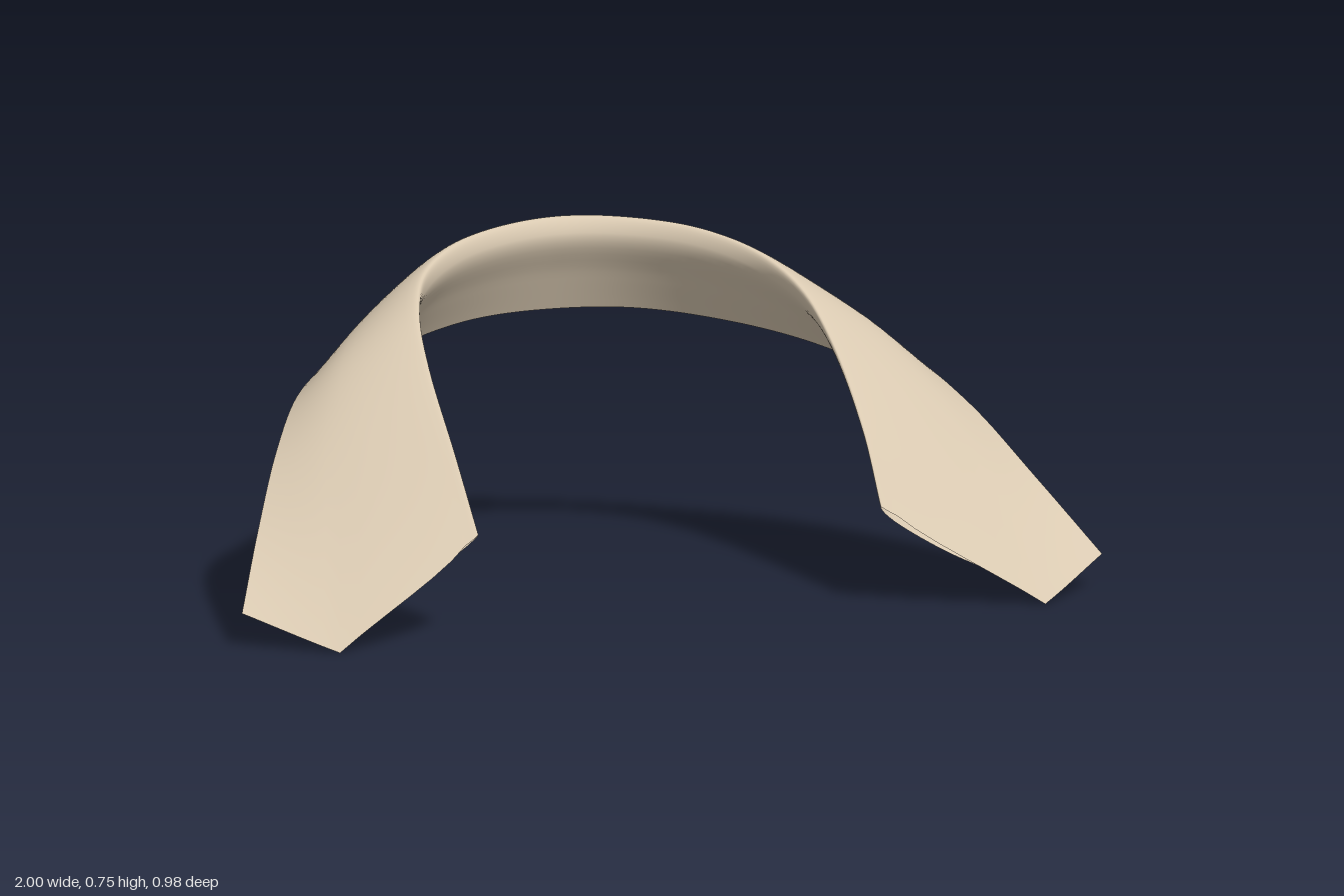
import * as THREE from 'three';

const V = (p) => new THREE.Vector3(...p);
const { lerp } = THREE.MathUtils;

// Rail running from the right tip round the back to the left tip, mirrored from one half
function rail(half) {
  const right = half.slice(1).reverse().map(([x, y, z]) => [-x, y, z]);
  return new THREE.CatmullRomCurve3([...right, ...half].map(V));
}

// How far the outer leaf is drawn towards its point, by position along the section
function pull(s) {
  if (s < 1) return s;
  if (s < 2) return 1 - .9 * (s - 1);
  return Math.max(0, .1 * (3 - s));
}

export function createModel() {
  const group = new THREE.Group();
  group.name = 'foldedCollar';
  const cloth = new THREE.MeshStandardMaterial({ color: 0xd9c9b1, side: THREE.DoubleSide });
  cloth.name = 'beige cloth';

  // Half rails, back centre to front tip
  const fold = rail([[0, .757, -.39], [.14, .75, -.367], [.28, .73, -.297], [.383, .69, -.2],
    [.442, .63, -.07], [.467, .535, .07], [.473, .377, .265], [.468, .228, .403]]);
  const outer = rail([[0, .55, -.49], [.21, .54, -.467], [.42, .518, -.38], [.583, .492, -.26],
    [.708, .455, -.12], [.805, .365, .02], [.903, .225, .18], [1, .077, .352]]);
  const inner = rail([[0, .537, -.455], [.19, .53, -.435], [.38, .503, -.355], [.53, .468, -.235],
    [.64, .422, -.1], [.725, .36, .02], [.755, .235, .2], [.75, .055, .41]]);

  const NI = 112, SEG = 6, NJ = 6 * SEG;
  const pos = [], idx = [];
  for (let i = 0; i <= NI; i++) {
    const t = i / NI, k = Math.abs(2 * t - 1), side = Math.sign(2 * t - 1);
    const F = fold.getPoint(t), O = outer.getPoint(t), I = inner.getPoint(t);
    const down = O.clone().sub(F).normalize();
    const n = fold.getTangent(t).cross(down).normalize();
    const bulge = lerp(.014, .006, k) + .05 * k * (1 - k);
    // Rounded fold, fuller on the inside
    const a = F.clone().addScaledVector(down, .03).addScaledVector(n, lerp(.022, .003, k));
    const b = F.clone().addScaledVector(I.clone().sub(F).normalize(), .03)
      .addScaledVector(n, -lerp(.034, .016, k));
    const outerMid = O.clone().lerp(F, .42).addScaledVector(n, bulge);
    const innerMid = I.clone().lerp(b, .5).addScaledVector(n, -.014 * k);
    const section = new THREE.CatmullRomCurve3([O, outerMid, a, F, b, innerMid, I]);

    // Pull the outer leaf into a point at each front end
    const w = Math.max(0, (k - .6) / .4) ** 2;
    const point = new THREE.Vector3(.042 * side, -.141, .114);
    for (let j = 0; j <= NJ; j++) {
      const p = section.getPoint(j / NJ).addScaledVector(point, w * pull(j / SEG));
      pos.push(p.x, p.y, p.z);
      if (i < NI && j < NJ) {
        const q = i * (NJ + 1) + j, e = q + NJ + 1;
        idx.push(q, e, q + 1, e, e + 1, q + 1);
      }
    }
  }
  const geometry = new THREE.BufferGeometry();
  geometry.setAttribute('position', new THREE.Float32BufferAttribute(pos, 3));
  geometry.setIndex(idx);
  geometry.computeVertexNormals();

  const collar = new THREE.Mesh(geometry, cloth);
  collar.name = 'collar';
  group.add(collar);
  return group;
}
